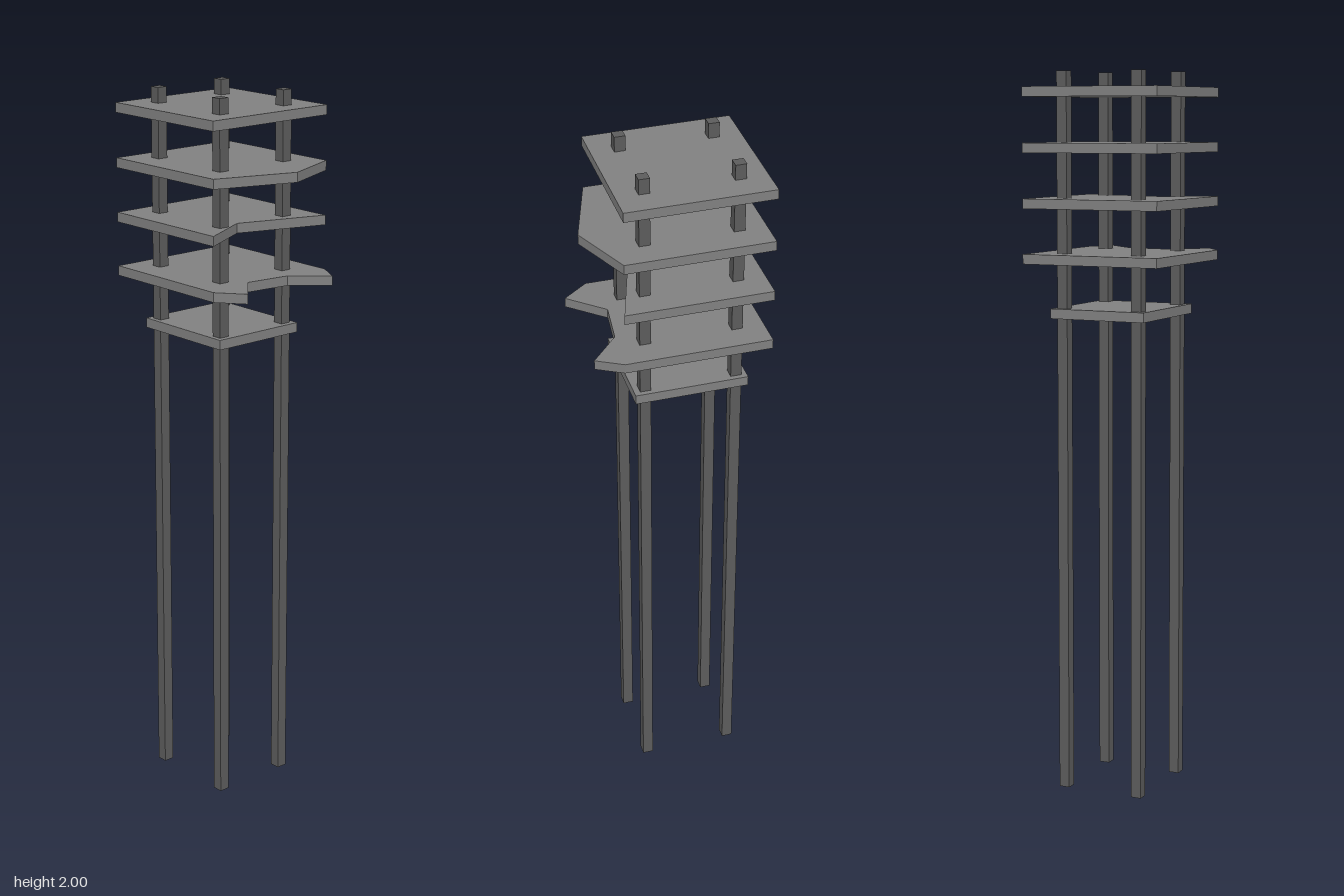
import * as THREE from 'three';

const postMaterial = new THREE.MeshStandardMaterial({ color: 0x5c5c5c, flatShading: true });
const plateMaterial = new THREE.MeshStandardMaterial({ color: 0x808080, flatShading: true });
const THICKNESS = 0.027;
const BACK = -0.238;
const FRONT = 0.164;
const HALF = 0.201;

// Horizontal plate: straight back and sides, front edge given as [x, z] from -x to +x
function plate(name, y, half, back, frontEdge) {
  const outline = [[-half, back], ...frontEdge, [half, back]];
  const shape = new THREE.Shape(outline.map(([x, z]) => new THREE.Vector2(x, -z)));
  const geometry = new THREE.ExtrudeGeometry(shape, { depth: THICKNESS, bevelEnabled: false });
  geometry.rotateX(-Math.PI / 2);
  const mesh = new THREE.Mesh(geometry, plateMaterial);
  mesh.name = name;
  mesh.position.y = y - THICKNESS / 2;
  return mesh;
}

export function createModel() {
  const group = new THREE.Group();
  group.name = 'tower';

  // Four full-height square posts
  const postGeometry = new THREE.BoxGeometry(0.03, 2, 0.03);
  for (const x of [-0.112, 0.112]) {
    for (const z of [-0.163, 0.089]) {
      const post = new THREE.Mesh(postGeometry, postMaterial);
      post.name = (z > 0 ? 'front' : 'back') + (x > 0 ? 'Left' : 'Right') + 'Post';
      post.position.set(x, 1, z);
      group.add(post);
    }
  }

  // Stacked platforms, top to bottom; points between the front corners break the edge
  const breaks = {
    topPlatform: [],
    pointedPlatform: [[0.027, 0.237]],
    notchedPlatform: [[-0.05, 0.085]],
    jaggedPlatform: [[-0.145, 0.236], [-0.06, 0.14], [0.07, 0.156], [0.161, 0.236]],
  };
  Object.entries(breaks).forEach(([name, points], i) => {
    const edge = [[-HALF, FRONT], ...points, [HALF, FRONT]];
    group.add(plate(name, 1.944 - 0.15 * i, HALF, BACK, edge));
  });

  // Smaller base platform
  group.add(plate('basePlatform', 1.344, 0.141, -0.193, [[-0.141, 0.12], [0.141, 0.12]]));

  return group;
}
